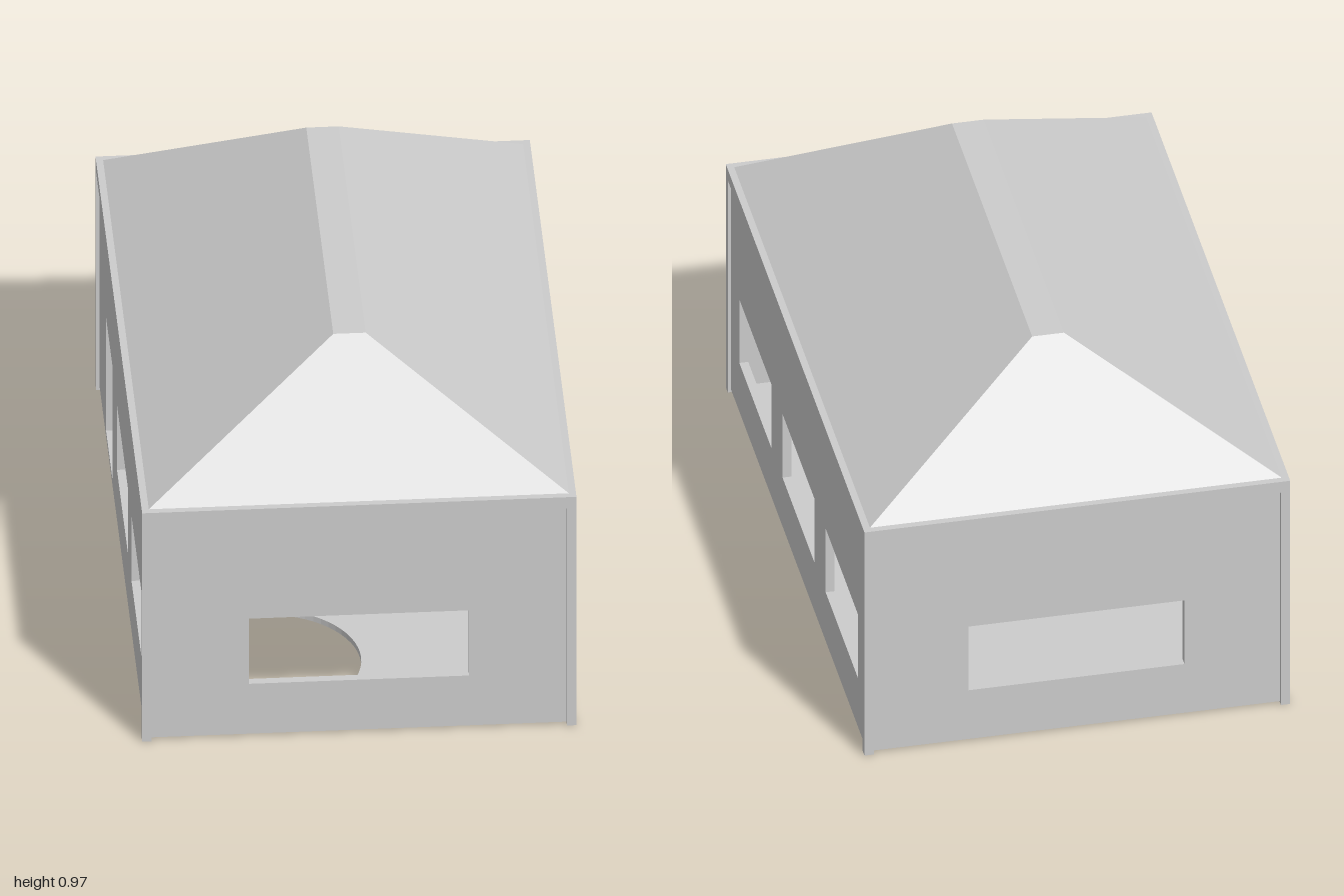
import * as THREE from 'three';

// Outer half sizes of the house, measured at the eaves
const HX = 0.5485, HZ = 0.8355;
const INSET = 0.009, WALL = 0.023, POST = 0.024;
const BASE = 0.006, FLOOR_TOP = 0.022, EAVE = 0.65, EAVE_TOP = 0.683, ROOF_TOP = 0.972;
const WX = HX - INSET, WZ = HZ - INSET;

const material = new THREE.MeshStandardMaterial({ color: 0xcccccc, flatShading: true });

function rect(path, x0, x1, y0, y1) {
  path.moveTo(x0, y0);
  path.lineTo(x1, y0);
  path.lineTo(x1, y1);
  path.lineTo(x0, y1);
  path.closePath();
  return path;
}

function add(parent, name, geometry, x = 0, y = 0, z = 0) {
  const mesh = new THREE.Mesh(geometry, material);
  mesh.name = name;
  mesh.position.set(x, y, z);
  parent.add(mesh);
  return mesh;
}

// Wall panel with rectangular openings [x0, x1, y0, y1]; its outer face points to +z
function wallPanel(half, openings) {
  const shape = rect(new THREE.Shape(), -half, half, BASE, EAVE);
  for (const o of openings) shape.holes.push(rect(new THREE.Path(), ...o));
  return new THREE.ExtrudeGeometry(shape, { depth: WALL, bevelEnabled: false });
}

export function createModel() {
  const model = new THREE.Group();
  model.name = 'house';
  const house = new THREE.Group();
  house.name = 'building';
  house.rotation.y = -0.5463;
  model.add(house);

  // Walls: three windows on one long side, a door and two windows on the other
  const win = (c, half = 0.194) => [c - half, c + half, 0.155, 0.35];
  const door = [-0.586, -0.347, FLOOR_TOP, 0.362];
  const left = add(house, 'windowWall', wallPanel(WZ, [win(-0.52), win(0), win(0.52)]), WX - WALL);
  left.rotation.y = Math.PI / 2;
  const right = add(house, 'doorWall', wallPanel(WZ, [door, win(0), win(0.52)]), -WX + WALL);
  right.rotation.y = -Math.PI / 2;
  for (const s of [1, -1]) {
    const end = add(house, s > 0 ? 'frontEndWall' : 'backEndWall',
      wallPanel(WX - WALL, [win(0, 0.278)]), 0, 0, s * (WZ - WALL));
    end.rotation.y = s > 0 ? 0 : Math.PI;
  }

  // Floor with a round opening
  const fx = WX - WALL, fz = WZ - WALL;
  const floor = rect(new THREE.Shape(), -fx, fx, -fz, fz);
  floor.holes.push(new THREE.Path().absarc(-0.213, -0.515, 0.24, 0, Math.PI * 2, true));
  const floorGeometry = new THREE.ExtrudeGeometry(floor,
    { depth: FLOOR_TOP - BASE, bevelEnabled: false, curveSegments: 32 });
  floorGeometry.rotateX(-Math.PI / 2);
  add(house, 'floor', floorGeometry, 0, BASE, 0);

  // Corner posts
  for (const sx of [1, -1]) for (const sz of [1, -1]) {
    add(house, 'cornerPost', new THREE.BoxGeometry(POST, EAVE, POST),
      sx * (HX - POST / 2), EAVE / 2, sz * (HZ - POST / 2));
  }

  // Eaves slab
  add(house, 'eaves', new THREE.BoxGeometry(HX * 2, EAVE_TOP - EAVE, HZ * 2),
    0, (EAVE + EAVE_TOP) / 2, 0);

  // Hipped roof: a box whose top corners are drawn in to a narrow flat ridge
  const roof = new THREE.BoxGeometry(1, 1, 1);
  const p = roof.attributes.position;
  for (let i = 0; i < p.count; i++) {
    const top = p.getY(i) > 0;
    p.setXYZ(i,
      Math.sign(p.getX(i)) * (top ? 0.041 : HX - 0.018),
      top ? ROOF_TOP : EAVE_TOP,
      Math.sign(p.getZ(i)) * (top ? 0.483 : HZ - 0.018));
  }
  roof.computeVertexNormals();
  add(house, 'roof', roof);

  return model;
}
